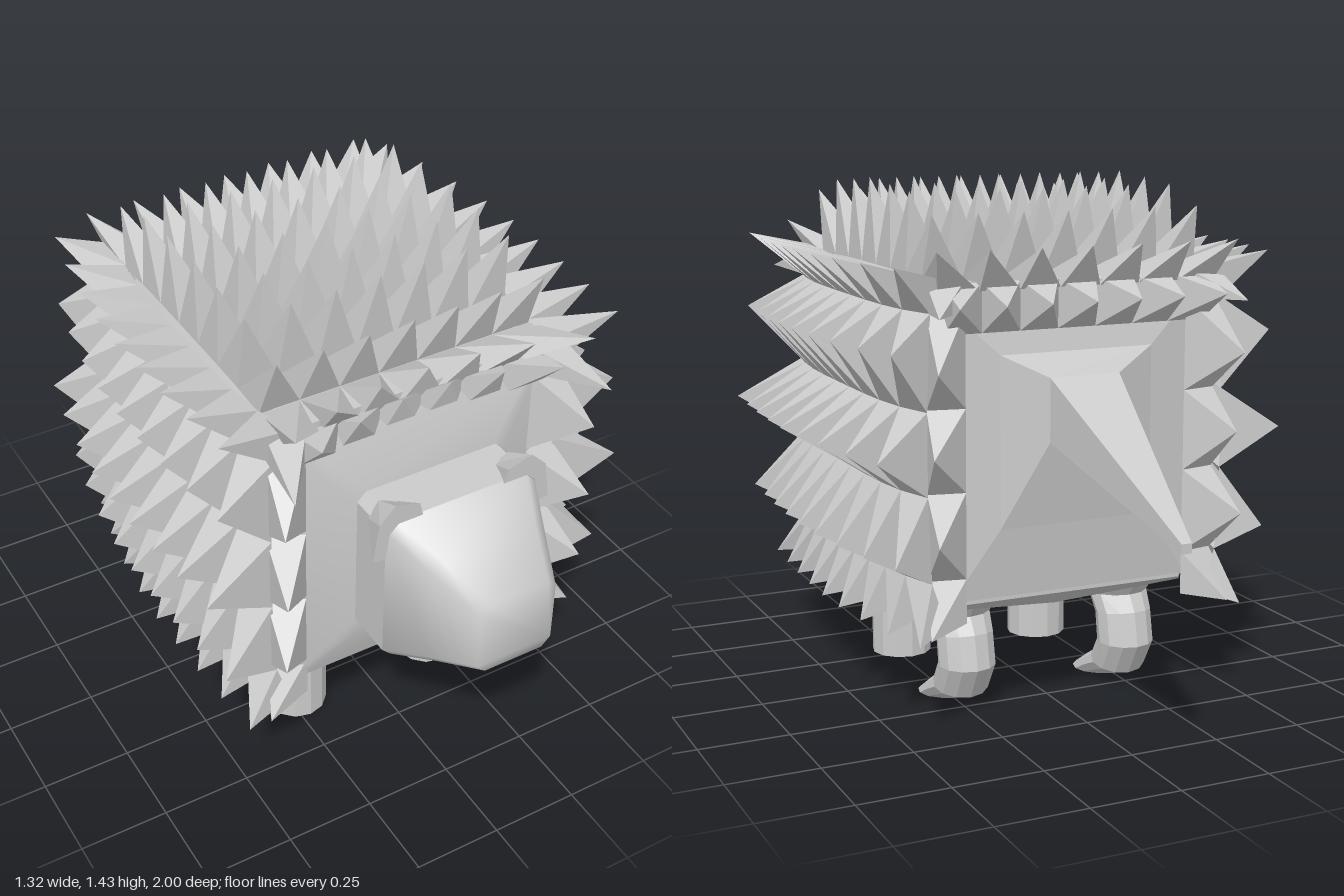
import * as THREE from 'three';
import { toCreasedNormals } from 'three/addons/utils/BufferGeometryUtils.js';

const V = (x, y, z) => new THREE.Vector3(x, y, z);
const mat = new THREE.MeshStandardMaterial({ color: 0xcccccc, flatShading: true, side: THREE.DoubleSide });
const smoothMat = new THREE.MeshStandardMaterial({ color: 0xcccccc, side: THREE.DoubleSide });

function fromPoints(points) {
  const g = new THREE.BufferGeometry().setFromPoints(points);
  g.computeVertexNormals();
  return g;
}

// Skin over a list of equal rings (counter-clockwise seen from the last ring), with end caps
function loft(rings) {
  const pts = [], n = rings[0].length;
  for (let r = 0; r < rings.length - 1; r++) {
    for (let i = 0; i < n; i++) {
      const k = (i + 1) % n, a = rings[r][i], b = rings[r][k], c = rings[r + 1][k], d = rings[r + 1][i];
      pts.push(a, b, c, a, c, d);
    }
  }
  const first = rings[0], last = rings[rings.length - 1];
  for (let i = 1; i < n - 1; i++) pts.push(first[0], first[i + 1], first[i], last[0], last[i], last[i + 1]);
  return fromPoints(pts);
}

// Chamfered rectangle ring at depth z
function rect(z, w, y0, y1, c) {
  return [
    V(w, y0 + c, z), V(w, y1 - c, z), V(w - c, y1, z), V(c - w, y1, z),
    V(-w, y1 - c, z), V(-w, y0 + c, z), V(c - w, y0, z), V(w - c, y0, z),
  ];
}

// Grid of four-sided spikes: base(i, j) gives grid corners, tip(i, j) gives points
function spikeField(nu, nv, base, tip) {
  const pts = [];
  for (let i = 0; i < nu; i++) {
    for (let j = 0; j < nv; j++) {
      const q = [base(i, j), base(i + 1, j), base(i + 1, j + 1), base(i, j + 1)];
      const t = tip(i, j);
      const normal = q[2].clone().sub(q[0]).cross(q[3].clone().sub(q[1]));
      if (normal.dot(t.clone().sub(q[0])) < 0) q.reverse();
      for (let k = 0; k < 4; k++) pts.push(q[k], q[(k + 1) % 4], t);
    }
  }
  return fromPoints(pts);
}

export function createModel() {
  const group = new THREE.Group();
  const add = (name, geometry, material = mat) => {
    const m = new THREE.Mesh(geometry, material);
    m.name = name;
    group.add(m);
    return m;
  };

  // Body core with a shallow keel under the belly
  const core = (z, w, bottom, keel) => {
    const half = [[w - 0.04, bottom], [w, 0.44], [w, 1.1], [w - 0.06, 1.19]];
    return [
      ...half.map(([x, y]) => V(x, y, z)),
      ...half.slice().reverse().map(([x, y]) => V(-x, y, z)), V(0, keel, z),
    ];
  };
  add('body', loft([
    core(-0.4, 0.37, 0.34, 0.34), core(-0.3, 0.43, 0.3, 0.28), core(-0.1, 0.44, 0.29, 0.255),
    core(0.2, 0.44, 0.29, 0.255), core(0.42, 0.43, 0.3, 0.3), core(0.53, 0.38, 0.36, 0.36),
  ]));

  // Shared row heights for the flank and edge spikes
  const rowY = [0.3, 0.42, 0.65, 0.87, 1.12, 1.2];
  const rowX = [0.41, 0.45, 0.46, 0.46, 0.45, 0.4];
  const tipY = [0.27, 0.485, 0.76, 1.03, 1.245];
  const tipX = [0.55, 0.615, 0.66, 0.62, 0.61];
  const tipZ = [-0.49, -0.345, -0.2, -0.065, 0.06, 0.18, 0.305, 0.43, 0.57];

  for (const s of [1, -1]) {
    // Flank spikes, bulging slightly at mid length
    add('sideSpikes', spikeField(9, 5,
      (i, j) => V(s * (rowX[j] + 0.02 - 0.05 * ((i - 4.5) / 4.5) ** 4), rowY[j], -0.44 + i * 0.109),
      (i, j) => V(s * (tipX[j] - (i < 4 ? 0.075 : 0.03) * ((i - 4) / 4) ** 2), tipY[j], tipZ[i])));

    // Spikes along the upright front and back edges
    add('frontEdgeSpikes', spikeField(1, 5,
      (i, j) => V(s * (0.33 + i * 0.1), rowY[j], 0.545 - i * 0.04),
      (i, j) => V(s * 0.46, [0.28, 0.54, 0.76, 0.98, 1.13][j], [0.58, 0.67, 0.68, 0.67, 0.72][j])));
    add('backEdgeSpikes', spikeField(1, 5,
      (i, j) => V(s * (0.32 + i * 0.1), rowY[j], -0.43 + i * 0.02),
      (i, j) => V(s * 0.44, [0.28, 0.54, 0.76, 0.98, 1.12][j], [-0.48, -0.54, -0.51, -0.54, -0.55][j])));
  }

  // Back spikes: seven across, with the first and last rows leaning outward
  const topZ = [-0.51, -0.37, -0.22, -0.08, 0.07, 0.2, 0.34, 0.5];
  const topY = [1.28, 1.36, 1.41, 1.42, 1.43, 1.42, 1.41, 1.37, 1.27];
  add('topSpikes', spikeField(7, 9,
    (i, j) => V((i - 3.5) * 0.114, 1.2 - 0.03 * ((j - 4.5) / 4.5) ** 4, -0.44 + j * 0.109),
    (i, j) => {
      const t = (i - 3) / 3;
      return V(t * (j === 0 || j === 8 ? 0.43 : 0.385), topY[j], j === 8 ? 0.57 + 0.1 * t * t : topZ[j]);
    }));

  // Short rows on the front and rear brow
  add('frontBrowSpikes', spikeField(6, 1,
    (i, j) => V((i - 3) * 0.12, 1.08 + j * 0.1, 0.54),
    (i) => V((i - 2.5) * 0.14, 1.2, 0.565 + 0.09 * ((i - 2.5) / 2.5) ** 2)));
  add('rearBrowSpikes', spikeField(7, 1,
    (i, j) => V((i - 3.5) * 0.108, 1.06 + j * 0.13, -0.42),
    (i) => V((i - 3) * 0.127, 1.14, -0.54)));

  // Chest plate, boxy head and a snout tapering to a rounded front
  add('chest', toCreasedNormals(loft([
    rect(0.54, 0.36, 0.36, 1.14, 0.02), rect(0.605, 0.22, 0.53, 0.99, 0.03),
  ]), 1.0), smoothMat);
  add('head', loft([rect(0.56, 0.22, 0.54, 0.985, 0.025), rect(0.74, 0.22, 0.54, 0.985, 0.025)]));
  add('snout', toCreasedNormals(loft([
    rect(0.74, 0.22, 0.54, 0.985, 0.025), rect(0.87, 0.165, 0.595, 0.93, 0.03), rect(1, 0.11, 0.65, 0.87, 0.025),
  ]), 1.3), smoothMat);

  // Bent ears hugging the upper corners of the head
  const ear = new THREE.Shape([
    [0.12, 0.985], [0.13, 1.025], [0.2, 1.045], [0.245, 1.0], [0.262, 0.89],
    [0.225, 0.885], [0.215, 0.96], [0.19, 0.985],
  ].map(([x, y]) => new THREE.Vector2(x, y)));
  for (const s of [1, -1]) {
    const g = new THREE.ExtrudeGeometry(ear, { depth: 0.09, bevelEnabled: false });
    // Narrow and lower the ear toward its rear
    const p = g.attributes.position;
    for (let i = 0; i < p.count; i++) {
      const back = 1 - p.getZ(i) / 0.09;
      p.setX(i, s * (0.18 + (p.getX(i) - 0.18) * (1 - 0.35 * back)));
      p.setY(i, p.getY(i) - 0.05 * back * (p.getY(i) > 0.95 ? 1 : 0));
      p.setZ(i, p.getZ(i) + 0.66);
    }
    g.computeVertexNormals();
    add(s > 0 ? 'leftEar' : 'rightEar', g);
  }

  // Flat rump, tail root and pointed tail
  const square = (z, w, y0, y1) => [V(-w, y0, z), V(-w, y1, z), V(w, y1, z), V(w, y0, z)];
  add('tail', loft([
    square(-0.4, 0.35, 0.35, 1.12), square(-0.425, 0.22, 0.54, 1.0),
    square(-0.47, 0.1, 0.77, 0.94), square(-1, 0.014, 0.595, 0.62),
  ]));

  // Hind leg rings as side-view edges: front z, front y, back z, back y, half width
  const hind = [
    [-0.07, 0.31, -0.31, 0.31, 0.12], [-0.13, 0.265, -0.28, 0.265, 0.085], [-0.17, 0.2, -0.31, 0.22, 0.08],
    [-0.18, 0.13, -0.33, 0.125, 0.08], [-0.14, 0.075, -0.28, 0.035, 0.078], [-0.09, 0.045, -0.2, 0.008, 0.076],
    [-0.02, 0, -0.17, 0, 0.075],
  ];
  for (const s of [1, -1]) {
    const front = add('frontLeg', new THREE.CylinderGeometry(0.088, 0.088, 0.36, 12));
    front.position.set(s * 0.224, 0.18, 0.29);
    add('hindLeg', loft(hind.map(([fz, fy, bz, by, w]) => Array.from({ length: 12 }, (_, i) => {
      const a = (i / 12) * Math.PI * 2, t = (1 - Math.cos(a)) / 2;
      return V(s * 0.245 + w * Math.sin(a), fy + (by - fy) * t, fz + (bz - fz) * t);
    }))));
  }
  return group;
}
